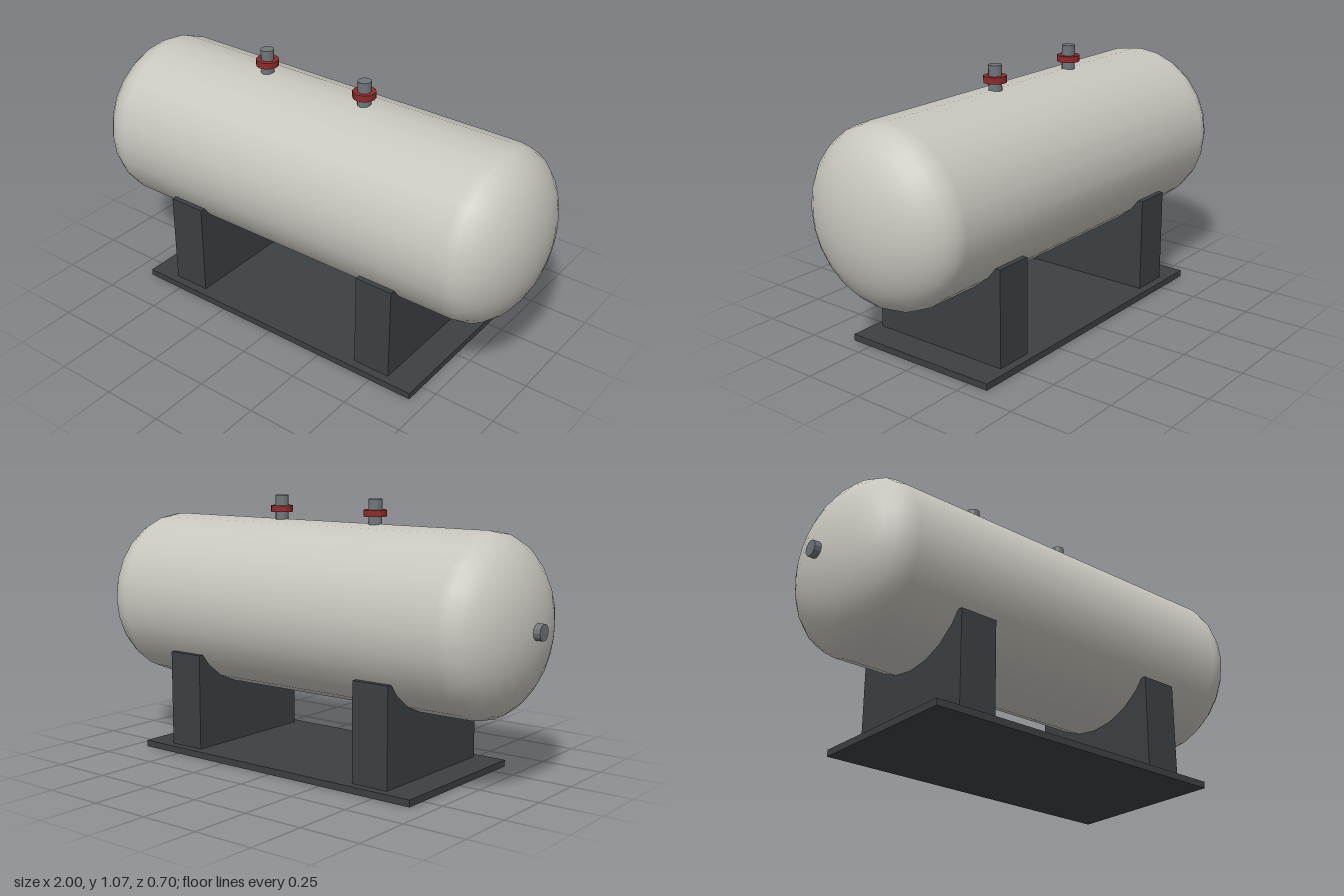
import * as THREE from 'three';

const mat = (color, flatShading = false) => {
  const m = new THREE.MeshStandardMaterial({ flatShading });
  m.color.set(color);
  return m;
};

export function createModel() {
  const model = new THREE.Group();
  model.name = 'storageTank';

  const shellMat = mat(0xc8c6be);
  const steelMat = mat(0x3c4043);
  const pipeMat = mat(0x70767a, true);
  const flangeMat = mat(0x8c2a2a, true);

  const cx = 0.0125, axisY = 0.6225, radius = 0.35, halfLength = 0.7775, domeDepth = 0.21;

  const add = (name, geometry, material, x, y, z = 0) => {
    const mesh = new THREE.Mesh(geometry, material);
    mesh.name = name;
    mesh.position.set(x, y, z);
    model.add(mesh);
    return mesh;
  };

  // Horizontal shell
  const shell = new THREE.CylinderGeometry(radius, radius, halfLength * 2, 24, 1, true);
  shell.rotateZ(Math.PI / 2);
  add('tankShell', shell, shellMat, cx, axisY);

  // Flattened domes closing both ends
  for (const side of [-1, 1]) {
    const dome = new THREE.SphereGeometry(radius, 24, 8, 0, Math.PI * 2, 0, Math.PI / 2);
    dome.scale(1, domeDepth / radius, 1);
    dome.rotateZ(-side * Math.PI / 2);
    add(side > 0 ? 'leftDome' : 'rightDome', dome, shellMat, cx + side * halfLength, axisY);
  }

  // Base plate and two support saddles
  add('basePlate', new THREE.BoxGeometry(1.35, 0.027, 0.675), steelMat, cx - 0.002, 0.0135);
  for (const x of [-0.461, 0.483]) {
    add('saddle', new THREE.BoxGeometry(0.16, 0.395, 0.606), steelMat, x, 0.2225);
  }

  // Top nozzles with flanges
  for (const x of [-0.26, 0.212]) {
    add('nozzlePipe', new THREE.CylinderGeometry(0.027, 0.027, 0.13, 12), pipeMat, x, 1.004);
    add('nozzleFlange', new THREE.CylinderGeometry(0.046, 0.046, 0.026, 12), flangeMat, x, 1.014);
  }

  // Drain stub on the right end
  const drain = new THREE.CylinderGeometry(0.032, 0.032, 0.08, 12);
  drain.rotateZ(Math.PI / 2);
  add('drainStub', drain, pipeMat, -0.96, axisY);

  return model;
}
